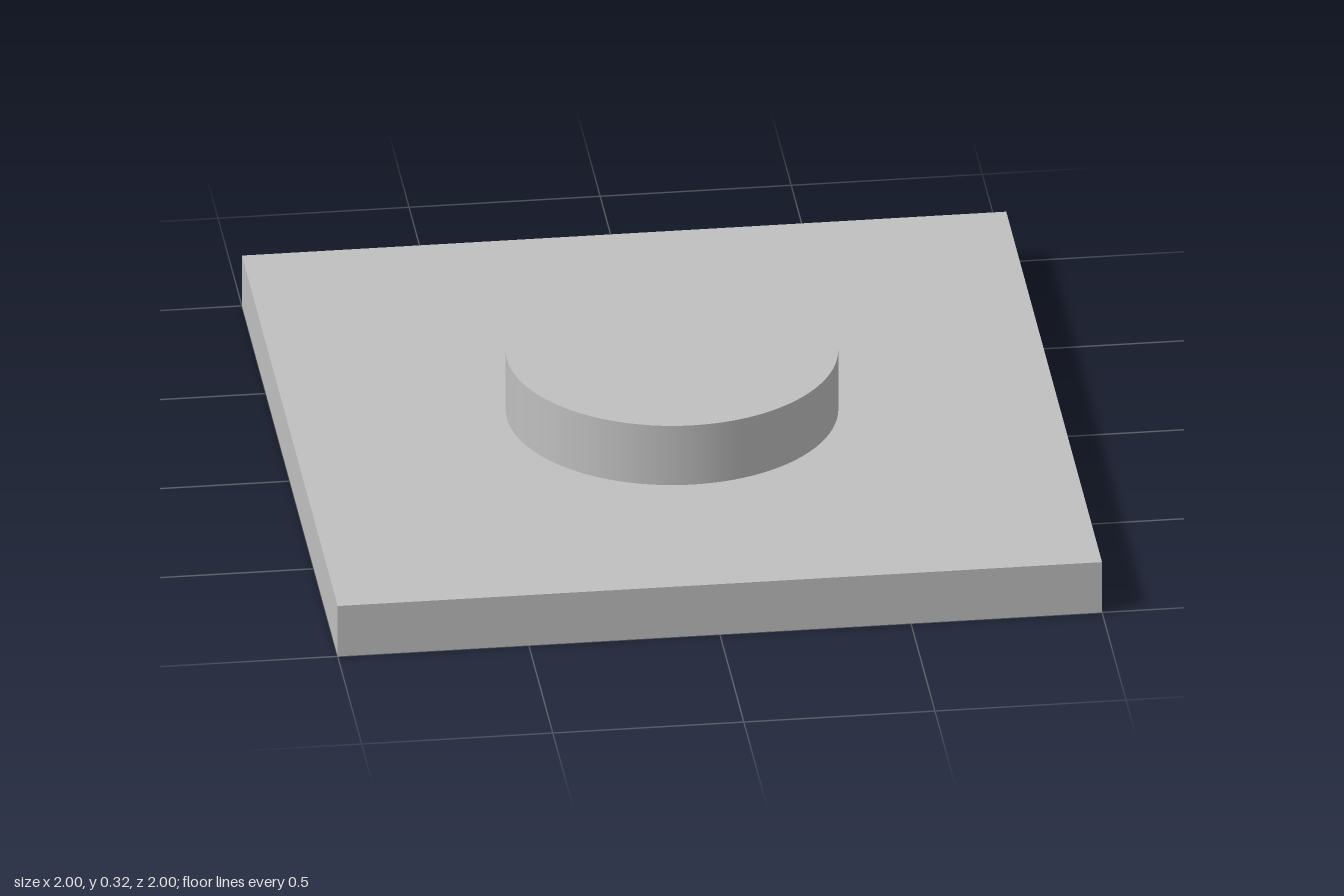
import * as THREE from 'three';

const PLATE = 0.147, TOP = 0.32, DEPTH = 0.07;

// Hooked groove outline, drawn in x (along) and z (across)
function grooveShape() {
  const s = new THREE.Shape();
  s.moveTo(-0.7, -0.03);
  s.lineTo(0.22, -0.03);
  s.bezierCurveTo(0.42, -0.03, 0.48, -0.06, 0.47, -0.25);
  s.lineTo(0.69, -0.25);
  s.bezierCurveTo(0.7, 0.1, 0.56, 0.247, 0.2, 0.247);
  s.lineTo(-0.7, 0.247);
  s.closePath();
  return s;
}

// Upright walls that follow an outline and face its inside
function wallGeometry(points, height) {
  const pos = [];
  for (let i = 0; i < points.length; i++) {
    const a = points[i], b = points[(i + 1) % points.length];
    if (a.distanceTo(b) < 1e-6) continue;
    pos.push(a.x, 0, a.y, b.x, 0, b.y, b.x, height, b.y);
    pos.push(a.x, 0, a.y, b.x, height, b.y, a.x, height, a.y);
  }
  const g = new THREE.BufferGeometry();
  g.setAttribute('position', new THREE.Float32BufferAttribute(pos, 3));
  g.computeVertexNormals();
  return g;
}

export function createModel() {
  const group = new THREE.Group();
  const grey = new THREE.MeshStandardMaterial({ color: 0xbfbfbf });
  grey.name = 'grey';
  const add = (name, geometry) => {
    const mesh = new THREE.Mesh(geometry, grey);
    mesh.name = name;
    group.add(mesh);
  };

  // Square plate: top and four sides, without the box's underside
  const plate = new THREE.BoxGeometry(2, PLATE, 2);
  plate.setIndex([...plate.index.array].filter((_, i) => i < 18 || i >= 24));
  plate.clearGroups();
  add('plate', plate.translate(0, PLATE / 2, 0));

  // Underside with the groove cut out
  const groove = grooveShape();
  const under = new THREE.Shape();
  under.moveTo(-1, -1).lineTo(1, -1).lineTo(1, 1).lineTo(-1, 1).closePath();
  under.holes.push(groove);
  add('underside', new THREE.ShapeGeometry(under, 24).rotateX(Math.PI / 2));

  // Groove walls and floor
  add('grooveWalls', wallGeometry(groove.getPoints(24), DEPTH));
  add('grooveFloor', new THREE.ShapeGeometry(groove, 24).rotateX(Math.PI / 2).translate(0, DEPTH, 0));

  // Round boss on top
  const boss = new THREE.CylinderGeometry(0.432, 0.432, TOP - PLATE, 96);
  add('boss', boss.translate(0, (TOP + PLATE) / 2, 0));

  return group;
}
